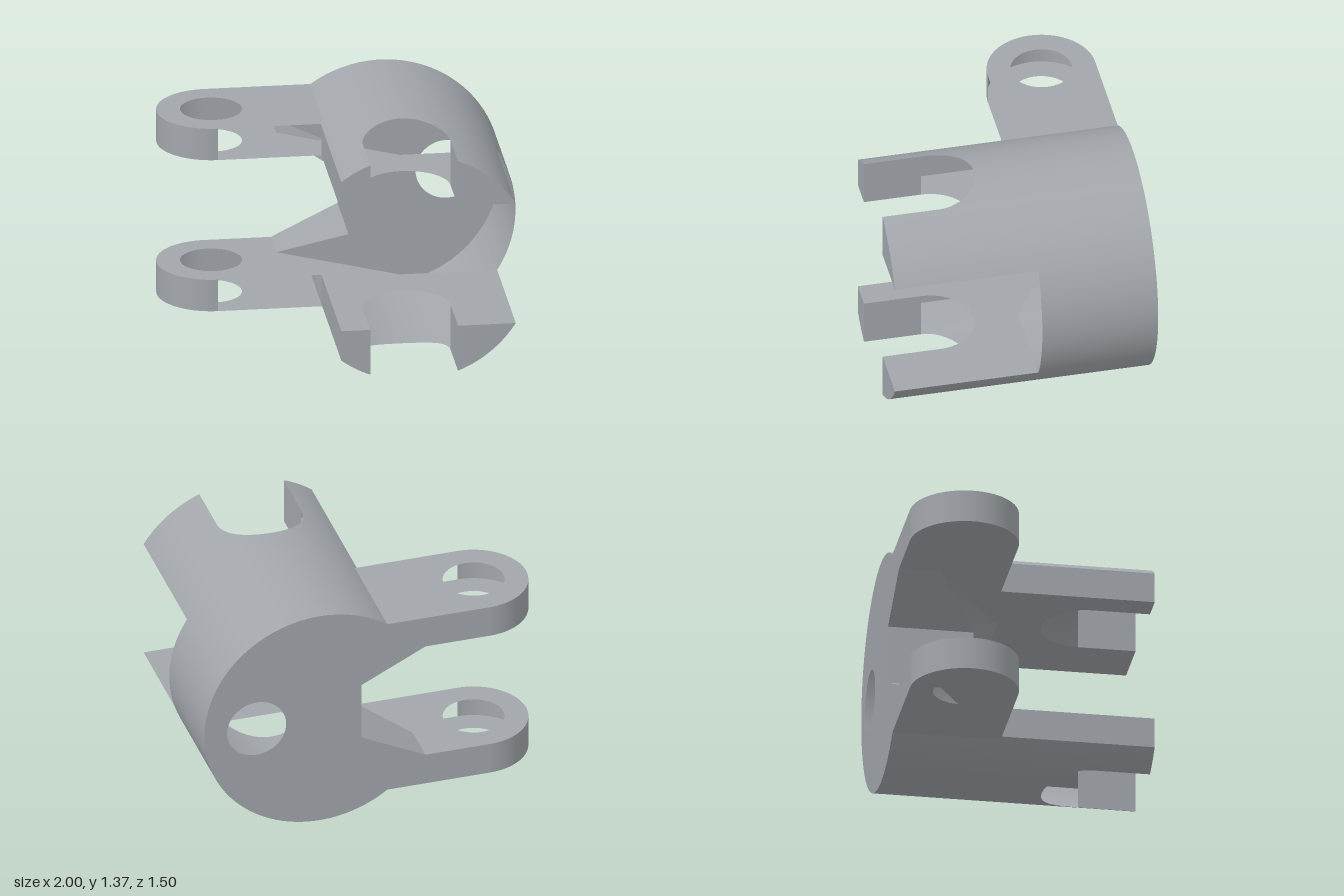
import * as THREE from 'three';

// Double-fork joint yoke built as an open shell; heights are measured from the mid plane CY
const CX = 0.316, CY = 0.683, R = 0.683;
const BACK = -0.75, FRONT = 0.75, FACE = -0.08;      // depth of back plate, jaw tips and body rim
const INNER = 0.363, OUTER = 0.554;                  // inner and outer height of the fork arms
const LUG = { x: -0.69, z: -0.44, r: 0.31, hole: 0.175 };
const SLOT = { x: 0.315, z: 0.42, r: 0.25 };
const LEFT = -0.1, LUG_FRONT = -0.13;

const steel = new THREE.MeshStandardMaterial({ color: 0xa2a6ab, side: THREE.DoubleSide });
steel.name = 'steel grey';

const rimY = (x) => Math.sqrt(Math.max(0, R * R - (x - CX) ** 2));
const angleAt = (x) => Math.acos((x - CX) / R);

// Grid surface from a rule (u, v) -> [x, y, z]
function surface(nu, nv, rule) {
  const pos = [], index = [];
  for (let i = 0; i <= nu; i++)
    for (let j = 0; j <= nv; j++) pos.push(...rule(i / nu, j / nv));
  for (let i = 0; i < nu; i++)
    for (let j = 0; j < nv; j++) {
      const a = i * (nv + 1) + j, b = a + nv + 1;
      index.push(a, b, a + 1, b, b + 1, a + 1);
    }
  const g = new THREE.BufferGeometry();
  g.setAttribute('position', new THREE.Float32BufferAttribute(pos, 3));
  g.setIndex(index);
  g.computeVertexNormals();
  return g;
}

// Flat rectangle lying in a plane of constant x
const sidePlate = (x, y0, y1, z0, z1) =>
  surface(1, 1, (u, v) => [x, y0 + (y1 - y0) * u, z0 + (z1 - z0) * v]);

// Strip of the round body running from the back plate to a given end depth
const bodyStrip = (n, rule) => surface(n, 1, (u, v) => {
  const [angle, end, s] = rule(u);
  return [CX + R * Math.cos(angle), CY + s * R * Math.sin(angle), BACK + (end - BACK) * v];
});

function lugHole(shape) {
  shape.holes.push(new THREE.Path().absarc(LUG.x, LUG.z, LUG.hole, 0, Math.PI * 2, true));
}

export function createModel() {
  const model = new THREE.Group();
  model.name = 'jointYoke';
  const add = (parent, name, geometry) => {
    const mesh = new THREE.Mesh(geometry, steel);
    mesh.name = name;
    parent.add(mesh);
    return mesh;
  };

  // Back plate with the notch between the lugs and the round bore
  const a = Math.PI - Math.asin(OUTER / R);
  const seam = CX + R * Math.cos(a);
  const back = new THREE.Shape();
  back.moveTo(LUG.x, -OUTER);
  back.lineTo(seam, -OUTER);
  back.absarc(CX, 0, R, -a, a, false);
  for (const [x, y] of [[LUG.x, OUTER], [LUG.x, INNER], [-0.31, INNER], [0.07, 0.175],
    [0.07, -0.175], [-0.31, -INNER], [LUG.x, -INNER]]) back.lineTo(x, y);
  back.holes.push(new THREE.Path().absarc(0.69, 0, 0.175, 0, Math.PI * 2, true));
  add(model, 'backPlate', new THREE.ShapeGeometry(back, 48).translate(0, CY, BACK));

  // Round side of the body between the two jaws
  const mid = Math.asin(INNER / R);
  const jawRight = CX + R * Math.cos(mid);
  add(model, 'bodySide', bodyStrip(24, (u) => [mid * (2 * u - 1), FACE, 1]));
  add(model, 'notchWall', sidePlate(0.07, CY - 0.175, CY + 0.175, BACK, -0.26));

  // Upper and lower forks are mirror images
  for (const s of [1, -1]) {
    const fork = new THREE.Group();
    fork.name = s > 0 ? 'upperFork' : 'lowerFork';
    model.add(fork);
    const slotL = SLOT.x - SLOT.r, slotR = SLOT.x + SLOT.r;

    // Curved outer skin: two prongs and the part behind the rounded slot
    for (const [name, x0, x1] of [['rightProngSkin', jawRight, slotR], ['leftProngSkin', slotL, LEFT]])
      add(fork, name, bodyStrip(10, (u) =>
        [angleAt(x0) + (angleAt(x1) - angleAt(x0)) * u, FRONT, s]));
    add(fork, 'slotSkin', bodyStrip(32, (u) => [
      angleAt(SLOT.x + SLOT.r * Math.cos(u * Math.PI)),
      SLOT.z - SLOT.r * Math.sin(u * Math.PI), s]));

    // Inner face shared by the jaw and the lug
    const inner = new THREE.Shape();
    inner.moveTo(-0.31, BACK);
    inner.lineTo(LUG.x, BACK);
    inner.absarc(LUG.x, LUG.z, LUG.r, -Math.PI / 2, Math.PI / 2, true);
    for (const [x, z] of [[LEFT, LUG_FRONT], [LEFT, FRONT], [slotL, FRONT], [slotL, SLOT.z]])
      inner.lineTo(x, z);
    inner.absarc(SLOT.x, SLOT.z, SLOT.r, Math.PI, Math.PI * 2, false);
    for (const [x, z] of [[slotR, FRONT], [jawRight, FRONT], [jawRight, FACE], [0.34, FACE], [-0.31, -0.51]])
      inner.lineTo(x, z);
    lugHole(inner);
    add(fork, 'innerFace', new THREE.ShapeGeometry(inner, 32)
      .rotateX(Math.PI / 2).translate(0, CY + s * INNER, 0));

    // Outer face of the lug
    const outer = new THREE.Shape();
    outer.moveTo(seam, BACK);
    outer.lineTo(LUG.x, BACK);
    outer.absarc(LUG.x, LUG.z, LUG.r, -Math.PI / 2, Math.PI / 2, true);
    outer.lineTo(seam, LUG_FRONT);
    lugHole(outer);
    add(fork, 'lugFace', new THREE.ShapeGeometry(outer, 32)
      .rotateX(Math.PI / 2).translate(0, CY + s * OUTER, 0));

    // Rounded lug end
    add(fork, 'lugEnd', new THREE.CylinderGeometry(LUG.r, LUG.r, OUTER - INNER, 32, 1, true, Math.PI, Math.PI)
      .translate(LUG.x, CY + s * (INNER + OUTER) / 2, LUG.z));

    // Ramp of the notch, cut off diagonally towards the front
    add(fork, 'notchRamp', surface(1, 1, (u, v) => [
      -0.31 + 0.38 * u,
      CY + s * (INNER + (0.175 - INNER) * u),
      BACK + (0.24 + 0.25 * u) * v]));

    // Flat sides of the prongs
    add(fork, 'prongOuterSide', sidePlate(LEFT, CY + s * INNER, CY + s * rimY(LEFT), LUG_FRONT, FRONT));
    for (const x of [slotL, slotR])
      add(fork, 'slotSide', sidePlate(x, CY + s * INNER, CY + s * rimY(x), SLOT.z, FRONT));

    // Prong tips
    for (const [x0, x1] of [[LEFT, slotL], [slotR, jawRight]])
      add(fork, 'prongTip', surface(12, 1, (u, v) => {
        const x = x0 + (x1 - x0) * u;
        return [x, CY + s * (INNER + (rimY(x) - INNER) * (s > 0 ? 1 - v : v)), FRONT];
      }));
  }
  return model;
}
